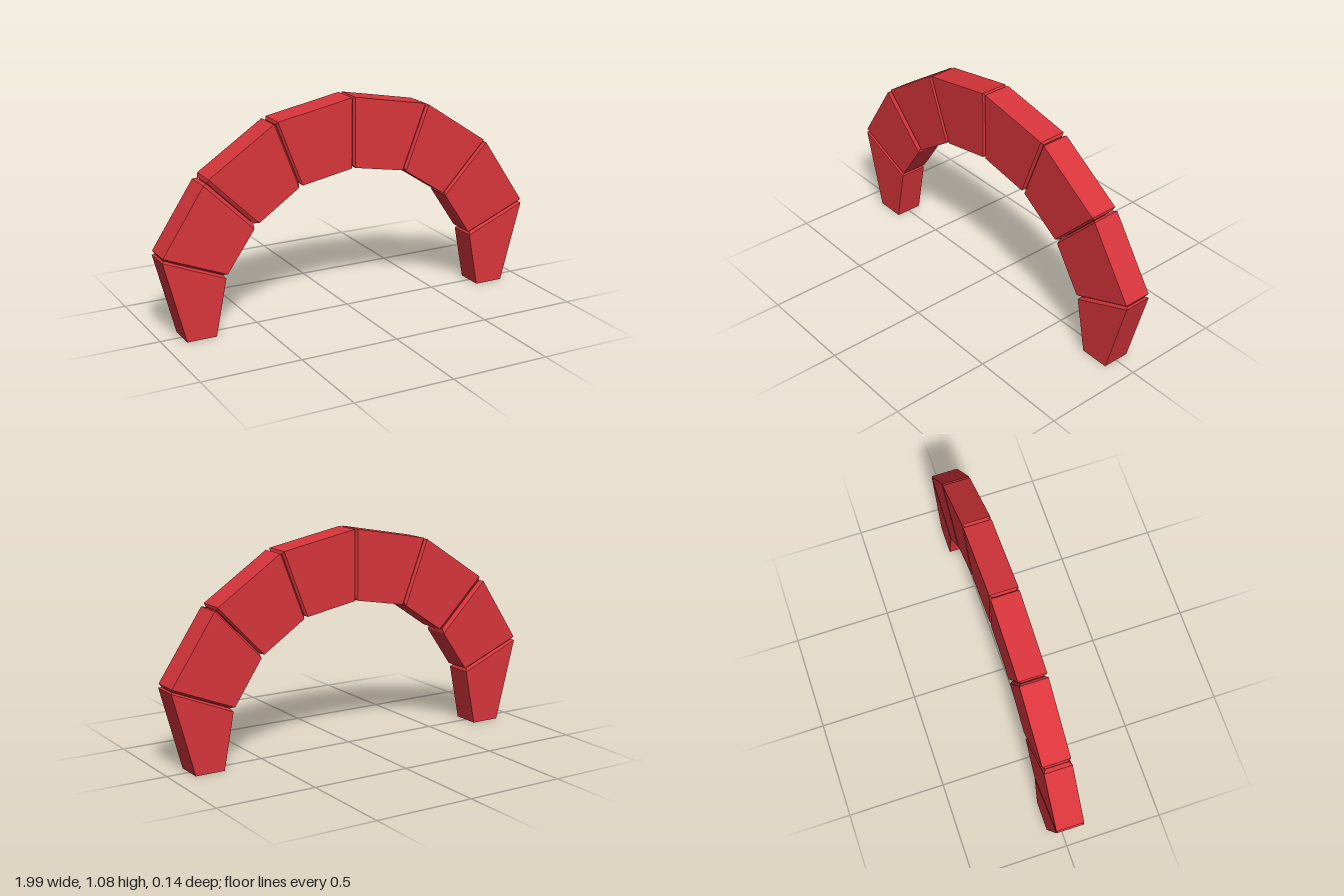
import * as THREE from 'three';

const HALF_DEPTH = 0.07;
const BEVEL = 0.013;

// Joint lines from the left foot over the crown to the right foot:
// outer x, outer y, inner x, inner y, half width of the groove (0 = square end)
const JOINTS = [
  [-0.89, 0, -0.74, 0, 0],
  [-1.0, 0.425, -0.68, 0.295, 0.011],
  [-0.772, 0.77, -0.522, 0.522, 0.019],
  [-0.412, 1.008, -0.286, 0.683, 0.011],
  [0, 1.086, 0, 0.735, 0.009],
  [0.412, 1.008, 0.286, 0.683, 0.011],
  [0.762, 0.775, 0.523, 0.526, 0.011],
  [1.0, 0.42, 0.68, 0.29, 0.011],
  [0.885, 0, 0.735, 0, 0],
];

// Rectangle across the arch at a joint line, shrunk by the inset
function section(outer, inner, inset) {
  const dir = inner.clone().sub(outer).normalize().multiplyScalar(inset);
  const o = outer.clone().add(dir), i = inner.clone().sub(dir);
  const z = HALF_DEPTH - inset;
  return [[o.x, o.y, z], [o.x, o.y, -z], [i.x, i.y, -z], [i.x, i.y, z]];
}

// Wedge stone: cross-sections lofted between two joints, bevelled round each joint
function stoneGeometry(start, end) {
  const v = (j, k) => new THREE.Vector2(j[k], j[k + 1]);
  const o0 = v(start, 0), i0 = v(start, 2), o1 = v(end, 0), i1 = v(end, 2);
  const step = (a, b, d) => a.clone().add(b.clone().sub(a).normalize().multiplyScalar(d));
  const rings = [];
  if (start[4]) rings.push(section(step(o0, o1, 0.001), step(i0, i1, 0.001), BEVEL));
  rings.push(section(step(o0, o1, start[4]), step(i0, i1, start[4]), 0));
  rings.push(section(step(o1, o0, end[4]), step(i1, i0, end[4]), 0));
  if (end[4]) rings.push(section(step(o1, o0, 0.001), step(i1, i0, 0.001), BEVEL));

  const pos = [];
  const quad = (a, b, c, d) => pos.push(...a, ...b, ...c, ...a, ...c, ...d);
  for (let r = 0; r < rings.length - 1; r++) {
    const p = rings[r], q = rings[r + 1];
    for (let k = 0; k < 4; k++) {
      const n = (k + 1) % 4;
      quad(p[k], q[k], q[n], p[n]);
    }
  }
  const [a, b, c, d] = rings[0];
  quad(a, b, c, d);
  const [e, f, g, h] = rings[rings.length - 1];
  quad(h, g, f, e);

  const geo = new THREE.BufferGeometry();
  geo.setAttribute('position', new THREE.Float32BufferAttribute(pos, 3));
  geo.computeVertexNormals();
  return geo;
}

export function createModel() {
  const arch = new THREE.Group();
  arch.name = 'arch';
  const material = new THREE.MeshStandardMaterial({ color: 0xd8353b, flatShading: true });
  const names = ['rightFoot', 'rightLowerStone', 'rightUpperStone', 'rightCrownStone',
    'leftCrownStone', 'leftUpperStone', 'leftLowerStone', 'leftFoot'];
  names.forEach((name, k) => {
    const stone = new THREE.Mesh(stoneGeometry(JOINTS[k], JOINTS[k + 1]), material);
    stone.name = name;
    arch.add(stone);
  });
  return arch;
}
